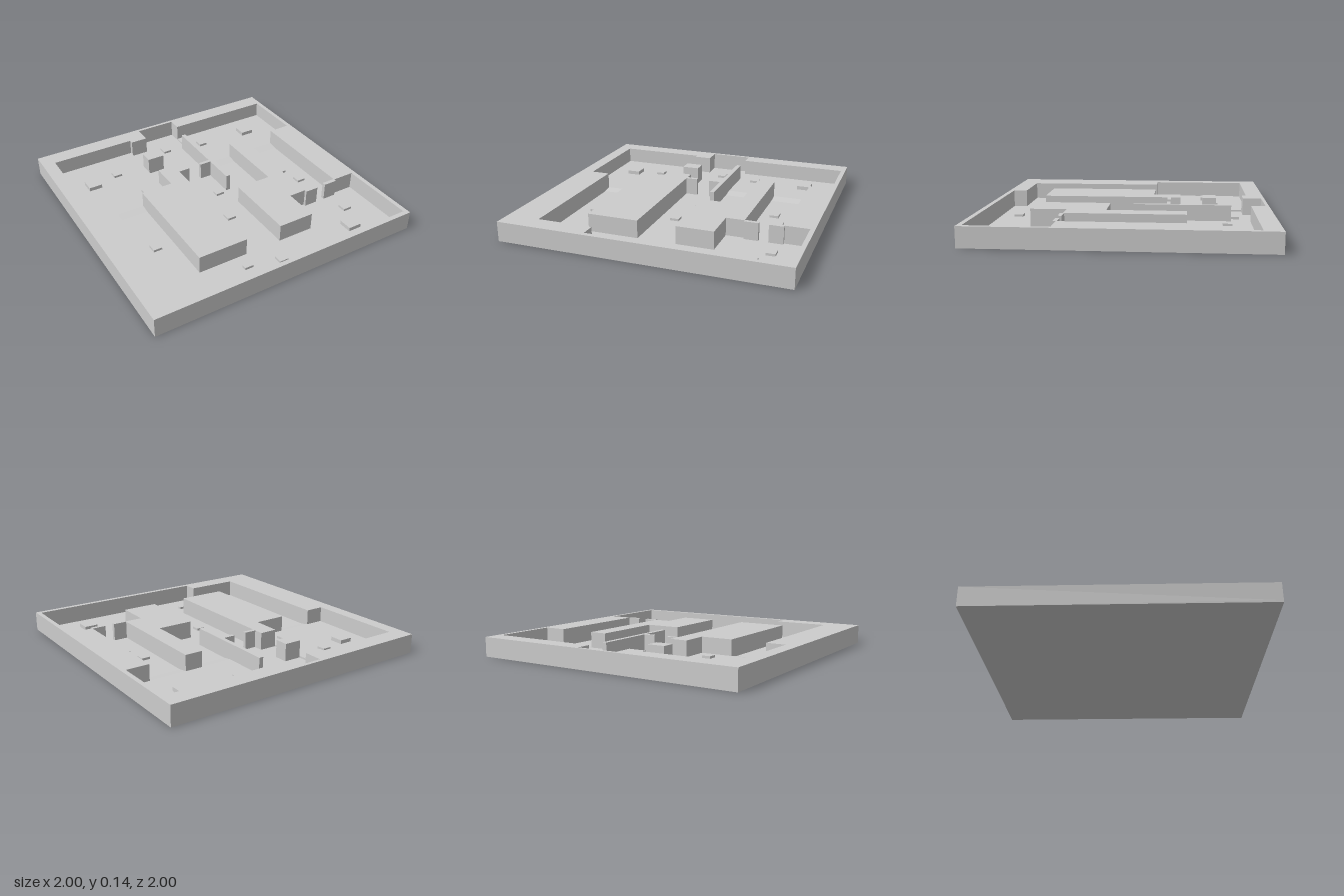
import * as THREE from 'three';

const TOP = 0.14, LOW = 0.013, HIGH = 0.025;

export function createModel() {
  const group = new THREE.Group();
  const stone = new THREE.MeshStandardMaterial({ color: 0xcccccc });
  stone.name = 'paleGrey';

  const add = (name, geometry) => {
    const mesh = new THREE.Mesh(geometry, stone);
    mesh.name = name;
    group.add(mesh);
  };
  // Box given by its plan corners and its bottom and top heights
  const block = (name, x0, x1, z0, z1, y0, y1) => {
    const g = new THREE.BoxGeometry(x1 - x0, y1 - y0, z1 - z0);
    add(name, g.translate((x0 + x1) / 2, (y0 + y1) / 2, (z0 + z1) / 2));
  };
  const points = (plan) => plan.map(([x, z]) => new THREE.Vector2(x, z));
  // Full-height wall raised from a plan outline in x and z
  const wall = (name, plan, hole) => {
    const shape = new THREE.Shape(points(plan));
    if (hole) shape.holes.push(new THREE.Path(points(hole)));
    const g = new THREE.ExtrudeGeometry(shape, { depth: TOP - LOW, bevelEnabled: false });
    add(name, g.rotateX(Math.PI / 2).translate(0, TOP, 0));
  };
  // Wedge sloping down towards +z
  const ramp = (name, x0, x1, z0, z1) => {
    const shape = new THREE.Shape(points([[0, LOW], [z1 - z0, LOW], [0, HIGH]]));
    const g = new THREE.ExtrudeGeometry(shape, { depth: x1 - x0, bevelEnabled: false });
    add(name, g.rotateY(-Math.PI / 2).translate(x1, 0, z0));
  };

  // Floors
  block('lowerFloor', -1, 1, -1, 1, 0, LOW);
  block('rightRoomFloor', -0.905, -0.267, -0.874, -0.168, LOW, HIGH);
  block('leftRoomFloor', 0.166, 0.968, -0.874, -0.42, LOW, HIGH);
  ramp('rightRamp', -0.765, -0.503, -0.168, -0.1);
  ramp('leftRamp', 0.166, 0.802, -0.42, -0.342);

  // Outer wall around the rooms
  wall('outerWall', [[-1, -1], [1, -1], [1, 1], [-1, 1]], [
    [-0.905, -0.874], [-0.267, -0.874], [-0.267, -0.842], [-0.139, -0.842],
    [-0.139, -0.976], [0.166, -0.976], [0.166, -0.874], [0.968, -0.874],
    [0.968, -0.42], [0.802, -0.42], [0.802, 0.41], [0.968, 0.41],
    [0.968, 0.966], [-0.37, 0.966], [-0.37, 0.865], [-0.765, 0.865],
    [-0.765, -0.168], [-0.905, -0.168],
  ]);

  // Inner walls
  wall('rightBlock', [
    [-0.503, -0.168], [-0.267, -0.168], [-0.267, -0.372],
    [-0.139, -0.372], [-0.139, 0.663], [-0.503, 0.663],
  ]);
  wall('leftBlock', [
    [0.4, -0.42], [0.53, -0.42], [0.53, 0.41], [0.4, 0.41],
    [0.4, 0.663], [0.134, 0.663], [0.134, 0.131], [0.4, 0.131],
  ]);
  block('pillar', -0.267, -0.139, -0.64, -0.54, LOW, TOP);
  block('thinWall', 0.134, 0.166, -0.735, -0.038, LOW, TOP);

  // Door jambs
  [
    [-0.139, -0.053, -0.302, -0.275], [0.048, 0.134, -0.302, -0.275],
    [0.53, 0.63, 0.402, 0.43], [0.7, 0.802, 0.402, 0.43],
  ].forEach((d) => block('doorJamb', ...d, LOW, TOP));

  // Crates: centre x, centre z, width, depth, floor height
  [
    [-0.718, -0.588, 0.1, 0.1, HIGH], [-0.502, -0.638, 0.064, 0.064, HIGH],
    [-0.402, -0.305, 0.064, 0.064, HIGH], [0.3, -0.702, 0.064, 0.064, HIGH],
    [0.714, -0.687, 0.1, 0.1, HIGH], [0, -0.77, 0.064, 0.064, LOW],
    [-0.636, 0.298, 0.064, 0.064, LOW], [0.064, -0.032, 0.064, 0.048, LOW],
    [0.631, -0.038, 0.064, 0.064, LOW], [0.695, 0.128, 0.064, 0.064, LOW],
    [-0.021, 0.26, 0.064, 0.064, LOW], [0.765, 0.597, 0.064, 0.064, LOW],
    [0.664, 0.78, 0.1, 0.1, LOW], [-0.203, 0.78, 0.064, 0.032, LOW],
    [0.032, 0.828, 0.064, 0.064, LOW],
  ].forEach(([x, z, w, d, y]) => {
    const h = w > 0.08 ? 0.028 : 0.017;
    block('crate', x - w / 2, x + w / 2, z - d / 2, z + d / 2, y, y + h);
  });

  return group;
}
